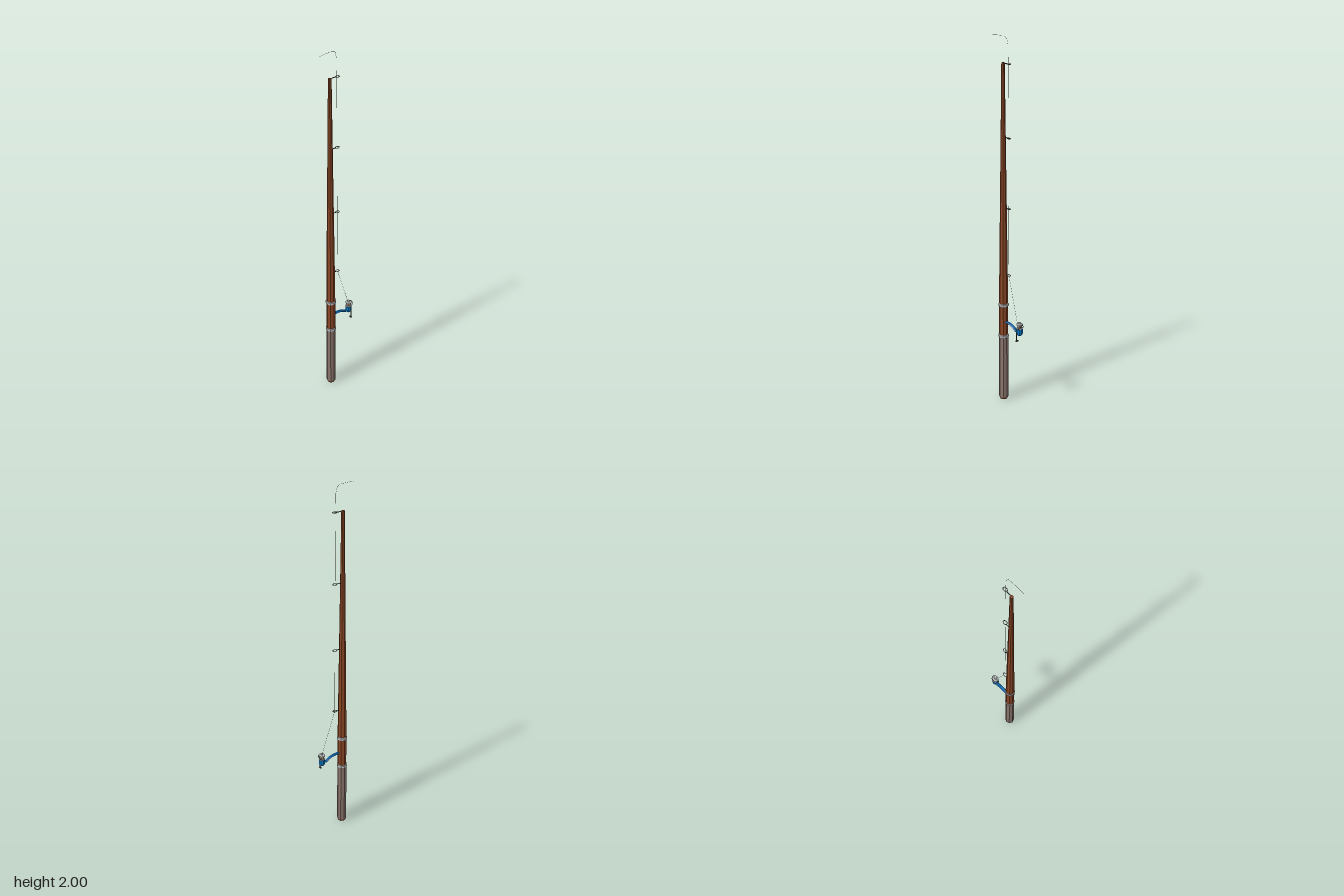
import * as THREE from 'three';

const mat = (name, color) => {
  const m = new THREE.MeshStandardMaterial({ color, flatShading: true });
  m.name = name;
  return m;
};

export function createModel() {
  const root = new THREE.Group();
  root.name = 'fishingRod';
  const wood = mat('wood', 0x8b4726);
  const grip = mat('grip', 0x8a746c);
  const silver = mat('silver', 0xc4c6c8);
  const blue = mat('blue', 0x0b7cd0);
  const dark = mat('darkMetal', 0x3a3a3c);
  const copper = mat('copper', 0xb08468);
  const lineMat = mat('line', 0x8c8c8c);

  const add = (name, geometry, material, parent = root) => {
    const m = new THREE.Mesh(geometry, material);
    m.name = name;
    parent.add(m);
    return m;
  };
  // Faceted turned part from [radius, y] pairs, around a vertical axis at x
  const turned = (name, points, material, x, parent, sides = 8) => {
    const g = new THREE.LatheGeometry(points.map(p => new THREE.Vector2(...p)), sides);
    const m = add(name, g, material, parent);
    m.position.x = x;
    return m;
  };
  const tube = (name, pts, r, material, parent, sides = 6, steps = 16) => {
    const curve = new THREE.CatmullRomCurve3(pts.map(p => new THREE.Vector3(...p)));
    return add(name, new THREE.TubeGeometry(curve, steps, r, sides), material, parent);
  };
  // Straight rod between two points
  const bar = (name, a, b, r, material, parent) => {
    const va = new THREE.Vector3(...a), vb = new THREE.Vector3(...b);
    return add(name, new THREE.TubeGeometry(new THREE.LineCurve3(va, vb), 1, r, 5), material, parent);
  };

  // Pole: wooden butt, grip, tapered blank and two collars
  const rodX = -0.042;
  turned('buttCap', [[0, 0], [0.021, 0], [0.0265, 0.012]], wood, rodX);
  turned('grip', [[0.0265, 0.012], [0.0265, 0.12], [0.0255, 0.385]], grip, rodX);
  turned('blank', [[0.0245, 0.385], [0.0245, 0.58], [0.0225, 0.76], [0.0178, 1.13],
    [0.013, 1.5], [0.0085, 1.87], [0, 1.87]], wood, rodX);
  for (const y of [0.39, 0.575]) {
    turned('collar', [[0.024, y - 0.01], [0.0285, y - 0.006], [0.0285, y + 0.006], [0.024, y + 0.01]],
      silver, rodX);
  }

  // Line guides: short stem and an eyelet
  for (const y of [0.76, 1.13, 1.5, 1.868]) {
    const guide = new THREE.Group();
    guide.name = 'lineGuide';
    root.add(guide);
    bar('guideStem', [rodX, y, 0], [-0.009, y, 0], 0.0022, dark, guide);
    const eye = add('guideEyelet', new THREE.TorusGeometry(0.0115, 0.002, 5, 10), dark, guide);
    eye.rotation.x = Math.PI / 2;
    eye.scale.set(1, 0.7, 1);
    eye.position.set(0.003, y, 0.002);
  }

  // Reel: curved foot, body, spool and cap
  const reel = new THREE.Group();
  reel.name = 'reel';
  root.add(reel);
  const rx = 0.088;
  const arm = tube('reelFoot', [[-0.022, 0, 0], [0.012, -0.001, 0], [0.04, -0.009, 0],
    [0.06, -0.022, 0], [0.08, -0.022, 0]], 0.006, blue, reel, 6);
  arm.position.y = 0.478;
  arm.scale.z = 1.6;
  turned('reelBody', [[0, 0.438], [0.011, 0.44], [0.0175, 0.45], [0.0175, 0.478], [0, 0.48]], blue, rx, reel);
  turned('spoolFlange', [[0, 0.478], [0.0165, 0.479], [0.0165, 0.484], [0, 0.485]], silver, rx, reel);
  turned('spool', [[0.012, 0.484], [0.012, 0.5]], copper, rx, reel);
  turned('spoolCap', [[0, 0.499], [0.0175, 0.5], [0.0175, 0.507], [0.008, 0.51],
    [0.006, 0.516], [0, 0.517]], silver, rx, reel);

  // Bail wire around the spool
  tube('bail', [[rx, 0.476, -0.0165], [0.104, 0.492, -0.012], [0.108, 0.508, 0],
    [0.104, 0.492, 0.013], [rx, 0.476, 0.0165]], 0.0016, dark, reel, 5);

  // Crank on the reel's front side, hanging down to a knob
  bar('crankAxle', [rx, 0.456, 0.012], [rx, 0.456, 0.023], 0.003, dark, reel);
  bar('crankArm', [rx, 0.458, 0.021], [rx, 0.412, 0.021], 0.003, dark, reel);
  const knob = add('crankKnob', new THREE.CylinderGeometry(0.0045, 0.0045, 0.013, 8), dark, reel);
  knob.rotation.x = Math.PI / 2;
  knob.position.set(rx, 0.412, 0.018);

  // Fishing line through the eyelets, trailing over the tip
  const path = [[0.082, 0.5, 0.008], [0.004, 0.76, 0.002], [0.002, 1.13, 0.002],
    [0.001, 1.5, 0.002], [-0.001, 1.868, 0.002], [-0.003, 1.96, 0.002], [-0.012, 1.992, 0.003],
    [-0.035, 1.9994, 0.004], [-0.075, 1.9992, 0.007], [-0.109, 1.996, 0.009]];
  for (let i = 1; i < path.length; i++) bar('line', path[i - 1], path[i], 0.0006, lineMat, root);

  return root;
}
